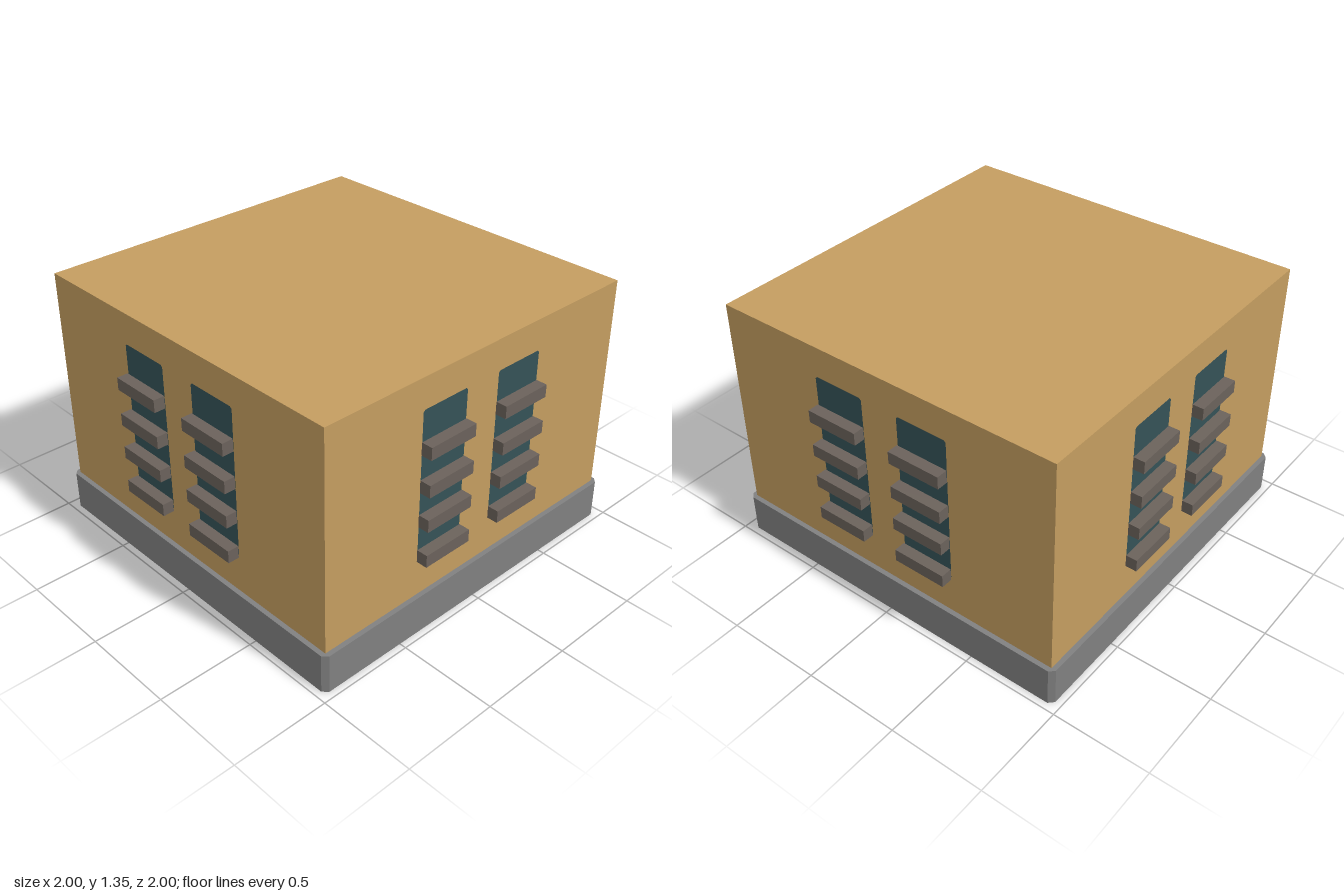
import * as THREE from 'three';

const WALL = 0.94, WALL_BOTTOM = 0.205, WALL_TOP = 1.345;
const BASE = 0.965, CHAMFER = 0.025;

function material(name, color) {
  const m = new THREE.MeshStandardMaterial({ color, side: THREE.DoubleSide });
  m.name = name;
  return m;
}

function add(parent, name, geometry, mat) {
  const mesh = new THREE.Mesh(geometry, mat);
  mesh.name = name;
  parent.add(mesh);
  return mesh;
}

// Rectangle outline with slightly cut corners
function cutRect(x0, y0, x1, y1, c) {
  return [[x0 + c, y0], [x1 - c, y0], [x1, y0 + c], [x1, y1 - c],
    [x1 - c, y1], [x0 + c, y1], [x0, y1 - c], [x0, y0 + c]]
    .map(([x, y]) => new THREE.Vector2(x, y));
}

export function createModel() {
  const tan = material('tan wall', 0xc49d60);
  const teal = material('dark teal glass', 0x355257);
  const brown = material('grey brown slat', 0x6b625b);
  const grey = material('grey base', 0x808080);
  const model = new THREE.Group();
  model.name = 'building';

  // Four identical sides, each turned a quarter around the centre
  const columns = [[-0.385, -0.105], [0.095, 0.376]];
  const slatHeights = [0.43, 0.622, 0.805, 0.998];
  for (let i = 0; i < 4; i++) {
    const side = new THREE.Group();
    side.name = 'side' + (i + 1);
    side.rotation.y = i * Math.PI / 2;
    model.add(side);

    const wall = new THREE.Shape([[-WALL, WALL_BOTTOM], [WALL, WALL_BOTTOM], [WALL, WALL_TOP], [-WALL, WALL_TOP]]
      .map(([x, y]) => new THREE.Vector2(x, y)));
    for (const [x0, x1] of columns) {
      // Glass set flush into an opening in the wall
      const outline = cutRect(x0 + 0.004, 0.405, x1, 1.185, 0.01);
      wall.holes.push(new THREE.Path(outline));
      add(side, 'window', new THREE.ShapeGeometry(new THREE.Shape(outline)), teal).position.z = WALL;
      // Projecting slats
      for (const y of slatHeights) {
        add(side, 'slat', new THREE.BoxGeometry(x1 - x0, 0.065, 0.058), brown)
          .position.set((x0 + x1) / 2, y, 0.971);
      }
    }
    add(side, 'wall', new THREE.ShapeGeometry(wall), tan).position.z = WALL;
  }

  // Flat roof
  const roof = add(model, 'roof', new THREE.PlaneGeometry(2 * WALL, 2 * WALL), tan);
  roof.rotation.x = -Math.PI / 2;
  roof.position.y = WALL_TOP;

  // Hollow base: thin skirt with cut corners
  const corners = cutRect(-BASE, -BASE, BASE, BASE, CHAMFER);
  const base = new THREE.Group();
  base.name = 'base';
  model.add(base);
  corners.forEach((a, i) => {
    const b = corners[(i + 1) % corners.length];
    const panel = add(base, 'baseSkirt', new THREE.PlaneGeometry(a.distanceTo(b), WALL_BOTTOM), grey);
    panel.position.set((a.x + b.x) / 2, WALL_BOTTOM / 2, -(a.y + b.y) / 2);
    panel.rotation.y = Math.atan2(b.y - a.y, b.x - a.x);
  });

  // Narrow ledge between skirt and walls
  const ledge = new THREE.Shape(corners);
  ledge.holes.push(new THREE.Path(cutRect(-WALL, -WALL, WALL, WALL, 0.0005)));
  const ledgeMesh = add(base, 'baseLedge', new THREE.ShapeGeometry(ledge), grey);
  ledgeMesh.rotation.x = -Math.PI / 2;
  ledgeMesh.position.y = WALL_BOTTOM;

  return model;
}
